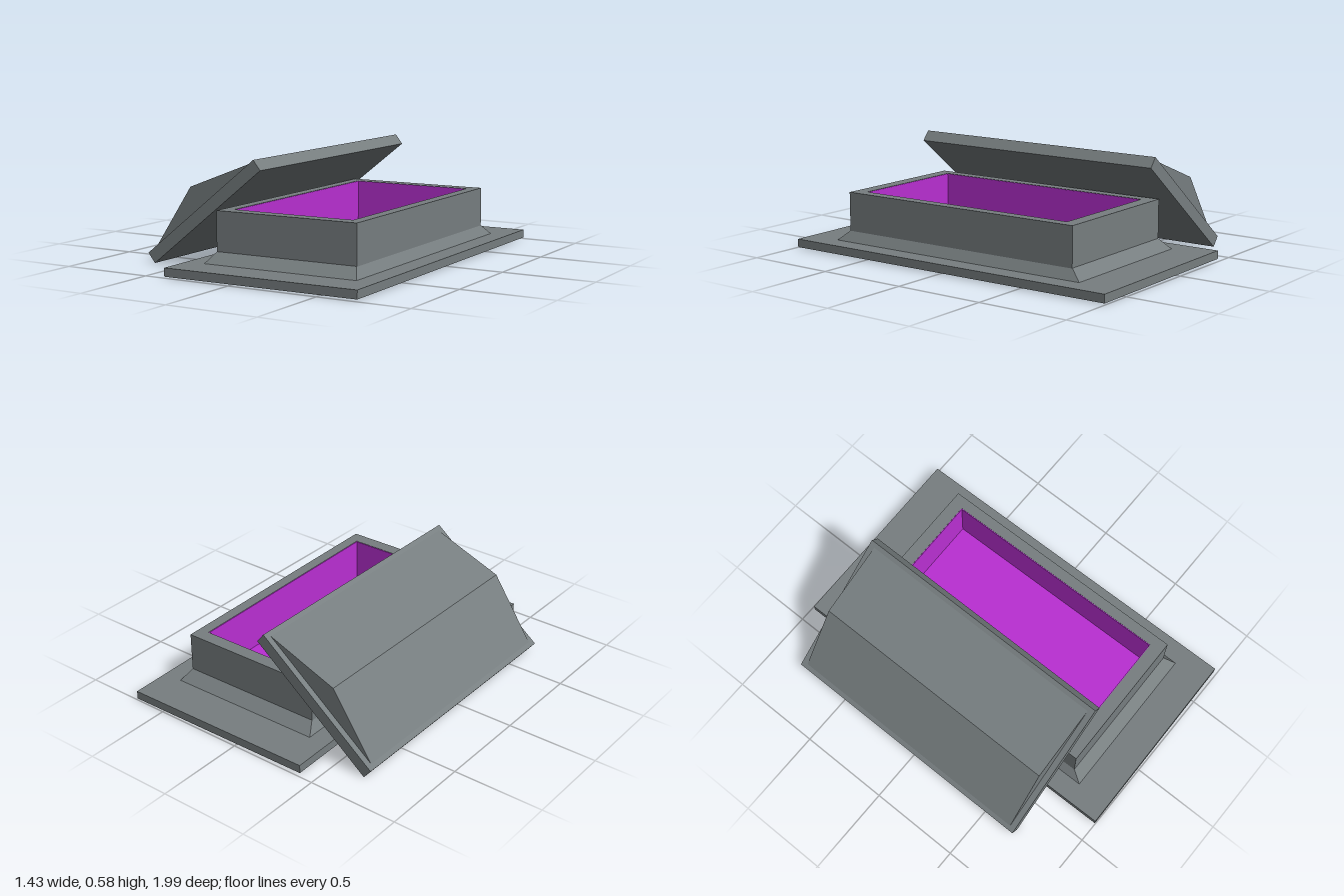
import * as THREE from 'three';

const stone = new THREE.MeshStandardMaterial({ color: 0x777e80 });
stone.name = 'grey stone';
const purple = new THREE.MeshStandardMaterial({ color: 0xb92fd2 });
purple.name = 'purple lining';

function add(parent, name, geometry, material, x = 0, y = 0, z = 0) {
  const mesh = new THREE.Mesh(geometry, material);
  mesh.name = name;
  mesh.position.set(x, y, z);
  parent.add(mesh);
  return mesh;
}

const box = (w, h, d) => new THREE.BoxGeometry(w, h, d);

// Rectangle outline centred on the origin
function rectangle(path, w, d) {
  path.moveTo(-w / 2, -d / 2);
  path.lineTo(w / 2, -d / 2);
  path.lineTo(w / 2, d / 2);
  path.lineTo(-w / 2, d / 2);
  path.closePath();
  return path;
}

export function createModel() {
  const model = new THREE.Group();
  model.name = 'openTomb';

  // Tomb body, turned very slightly on the ground
  const tomb = new THREE.Group();
  tomb.name = 'tomb';
  tomb.position.set(0.149, 0, 0);
  tomb.rotation.y = 0.0137;
  model.add(tomb);

  add(tomb, 'basePlate', box(1.097, 0.045, 1.98), stone, 0, 0.0315, 0);

  // Sloped skirt: an open four-sided frustum with flat faces
  const skirt = new THREE.CylinderGeometry(
    Math.SQRT1_2 * 0.918, Math.SQRT1_2, 0.056, 4, 1, true, Math.PI / 4
  ).toNonIndexed();
  skirt.scale(0.88, 1, 1.575);
  skirt.computeVertexNormals();
  add(tomb, 'skirt', skirt, stone, 0, 0.081, 0.0125);

  // Hollow chest walls
  const W = 0.81, D = 1.445, innerW = 0.69, innerD = 1.3, floorY = 0.054, rimY = 0.32;
  const outline = rectangle(new THREE.Shape(), W, D);
  outline.holes.push(rectangle(new THREE.Path(), innerW, innerD));
  const walls = new THREE.ExtrudeGeometry(outline, { depth: rimY - floorY, bevelEnabled: false });
  walls.rotateX(-Math.PI / 2);
  add(tomb, 'chestWalls', walls, stone, 0, floorY, 0.0125);

  // Purple lining panels inside the chest
  const t = 0.004, h = rimY - floorY - 0.002, midY = floorY + h / 2;
  add(tomb, 'liningFloor', box(innerW, t, innerD), purple, 0, floorY + t / 2, 0.0125);
  for (const s of [-1, 1]) {
    add(tomb, 'liningSide', box(t, h, innerD), purple, s * (innerW - t) / 2, midY, 0.0125);
    add(tomb, 'liningEnd', box(innerW, h, t), purple, 0, midY, 0.0125 + s * (innerD - t) / 2);
  }

  // Lid leaning against the chest, one long edge on the ground
  const lid = new THREE.Group();
  lid.name = 'lid';
  lid.position.set(-0.675, 0.002, -0.0575);
  lid.rotation.z = 0.673;
  model.add(lid);

  const L = 0.85, thick = 0.066, inset = 0.027;
  add(lid, 'lidSlab', box(L, thick, 1.505), stone, L / 2, thick / 2, 0);

  // Gabled top of the lid
  const gable = new THREE.Shape();
  gable.moveTo(inset, thick);
  gable.lineTo(L - inset, thick);
  gable.lineTo(L / 2, 0.192);
  gable.closePath();
  const gableGeometry = new THREE.ExtrudeGeometry(gable, { depth: 1.44, bevelEnabled: false });
  add(lid, 'lidGable', gableGeometry, stone, 0, 0, -0.72);

  return model;
}
